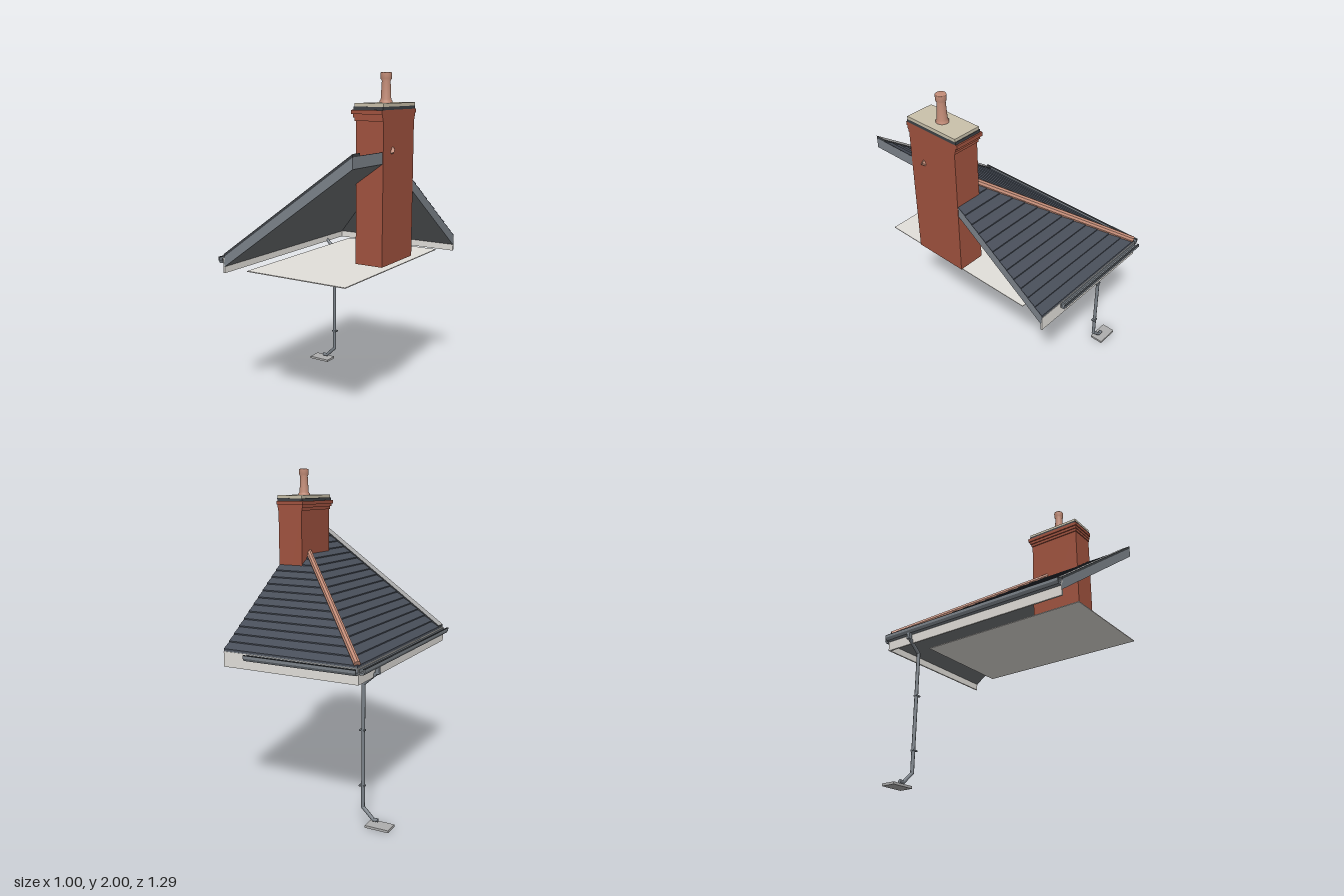
import * as THREE from 'three';
import { mergeGeometries } from 'three/addons/utils/BufferGeometryUtils.js';

const mat = (name, color) => {
  const m = new THREE.MeshStandardMaterial({ color });
  m.name = name;
  return m;
};

export function createModel() {
  const slate = mat('slate', 0x484e59);
  const felt = mat('underlay', 0x717578);
  const grey = mat('grey metal', 0x7c838a);
  const brick = mat('red brick', 0xa1533f);
  const clay = mat('terracotta', 0xc48d78);
  const white = mat('off white', 0xe2dfda);
  const mortar = mat('mortar', 0xcac1ab);
  const stone = mat('pale grey', 0xaeaeae);
  const lead = mat('dark lead', 0x3e4246);

  const root = new THREE.Group();
  const add = (name, geometry, material, parent = root) => {
    const mesh = new THREE.Mesh(geometry, material);
    mesh.name = name;
    parent.add(mesh);
    return mesh;
  };
  // Box given by its limits on each axis
  const box = (name, x0, x1, y0, y1, z0, z1, material, parent) => {
    const g = new THREE.BoxGeometry(x1 - x0, y1 - y0, z1 - z0);
    g.translate((x0 + x1) / 2, (y0 + y1) / 2, (z0 + z1) / 2);
    return add(name, g, material, parent);
  };
  // Bar between two points
  const bar = (p, q, r, flat = false) => {
    const a = new THREE.Vector3(...p), d = new THREE.Vector3(...q).sub(a);
    let g = new THREE.CylinderGeometry(r, r, d.length(), 8);
    if (flat) { g = g.toNonIndexed(); g.computeVertexNormals(); }
    g.applyQuaternion(new THREE.Quaternion().setFromUnitVectors(
      new THREE.Vector3(0, 1, 0), d.clone().normalize()));
    return g.translate(...a.addScaledVector(d, 0.5).toArray());
  };
  // Slab over a plan outline [x, z], with rules for its underside height and thickness
  const slab = (plan, low, thick) => {
    const shape = new THREE.Shape(plan.map(([x, z]) => new THREE.Vector2(x, -z)));
    const g = new THREE.ExtrudeGeometry(shape, { depth: 1, bevelEnabled: false });
    g.rotateX(-Math.PI / 2);
    const p = g.attributes.position;
    for (let i = 0; i < p.count; i++) {
      const x = p.getX(i), z = p.getZ(i);
      p.setY(i, low(x, z) + p.getY(i) * thick(x, z));
    }
    g.computeVertexNormals();
    return g;
  };

  // Roof: two slopes meeting on a 45 degree hip
  const X0 = -0.38, X1 = 0.483, Z0 = -0.61, ZF = 0.645, RUN = X1 - X0, HIP = 0.23, PITCH = 0.71;
  const sideLow = (x) => 0.91 + PITCH * (x - X0);
  const backLow = (x, z) => 0.91 + PITCH * (z - Z0);
  const DECK = 0.06;
  const roof = new THREE.Group();
  roof.name = 'roof';
  root.add(roof);
  add('sideDeck', slab([[X0, Z0], [X0, ZF], [X1, ZF], [X1, X1 - HIP]], sideLow, () => DECK),
    [felt, grey], roof);
  add('backDeck', slab([[X0, Z0], [X1, X1 - HIP], [X1, Z0]], backLow, () => DECK),
    [felt, grey], roof);

  // Slate courses, each thicker at its lower edge
  const COURSES = 17, step = (RUN - 0.001) / COURSES;
  const sideTiles = [], backTiles = [];
  for (let i = 0; i < COURSES; i++) {
    const u0 = i * step, u1 = u0 + step;
    const taper = (u) => 0.011 - 0.007 * (u - u0) / step;
    const xa = X0 + u0, xb = X0 + u1, za = Z0 + u0, zb = Z0 + u1;
    sideTiles.push(slab([[xa, za], [xa, 0.575], [xb, 0.575], [xb, zb]],
      (x) => sideLow(x) + DECK, (x) => taper(x - X0)));
    backTiles.push(slab([[xa, za], [xb, zb], [X1, zb], [X1, za]],
      (x, z) => backLow(x, z) + DECK, (x, z) => taper(z - Z0)));
  }
  add('sideSlates', mergeGeometries(sideTiles), slate, roof);
  add('backSlates', mergeGeometries(backTiles), slate, roof);

  // Verge strip along the front edge
  add('vergeStrip', slab([[X0, 0.575], [X0, ZF], [X1, ZF], [X1, 0.575]],
    (x) => sideLow(x) + DECK, () => 0.017), [stone, lead], roof);

  // Terracotta hip capping
  add('hipTiles', bar([-0.374, 0.988, -0.604], [0.486, 1.593, 0.256], 0.02, true), clay, roof);

  // Fascias and ceiling
  box('sideFascia', -0.385, -0.375, 0.875, 0.965, Z0, ZF, white);
  box('backFascia', -0.385, X1, 0.875, 0.965, -0.612, -0.602, white);
  box('ceiling', -0.21, 0.44, 0.906, 0.911, -0.435, ZF, white);

  // Open gutters, a U section run along each eave, with a dark outer lip
  const gutter = (name, length) => {
    const group = new THREE.Group();
    group.name = name;
    root.add(group);
    const s = new THREE.Shape();
    [[0, 0.03], [0, 0.016], [0.01, 0], [0.036, 0], [0.036, 0.03],
      [0.031, 0.03], [0.031, 0.012], [0.01, 0.012], [0.01, 0.03]]
      .forEach(([x, y], i) => (i ? s.lineTo(x, y) : s.moveTo(x, y)));
    add('trough', new THREE.ExtrudeGeometry(s, { depth: length, bevelEnabled: false }), grey, group);
    box('lip', 0, 0.011, 0.03, 0.034, 0, length, lead, group);
    return group;
  };
  gutter('sideGutter', ZF - Z0).position.set(-0.422, 0.932, Z0);
  const backGutter = gutter('backGutter', 0.71);
  backGutter.rotation.y = -Math.PI / 2;
  backGutter.position.set(0.325, 0.932, -0.648);

  // Downpipe with swan neck, shoe and brackets
  const pipe = new THREE.Group();
  pipe.name = 'downpipe';
  root.add(pipe);
  const PZ = -0.42;
  const path = [[-0.42, 0.905], [-0.4, 0.9], [-0.32, 0.83], [-0.32, 0.1], [-0.385, 0.037], [-0.415, 0.037]];
  for (let i = 0; i + 1 < path.length; i++) {
    add('pipeSection', bar([...path[i], PZ], [...path[i + 1], PZ], 0.011), grey, pipe);
    if (i) add('pipeElbow', new THREE.SphereGeometry(0.0112, 8, 6), grey, pipe)
      .position.set(...path[i], PZ);
  }
  box('outlet', -0.418, -0.396, 0.895, 0.935, PZ - 0.011, PZ + 0.011, grey, pipe);
  for (const y of [0.23, 0.56]) {
    box('bracket', -0.332, -0.298, y - 0.004, y + 0.004, PZ - 0.012, PZ + 0.012, grey, pipe);
  }
  box('splashBlock', -0.5, -0.355, 0, 0.014, -0.468, -0.38, stone);

  // Chimney stack with corbels, lead tray and mortar cap
  const chimney = new THREE.Group();
  chimney.name = 'chimney';
  root.add(chimney);
  const XC = 0.486;
  box('stack', 0.319, XC, 0.96, 1.76, -0.003, 0.344, brick, chimney);
  box('lowerCorbel', 0.312, XC, 1.745, 1.763, -0.008, 0.35, brick, chimney);
  box('middleCorbel', 0.305, XC, 1.763, 1.781, -0.014, 0.354, brick, chimney);
  box('upperCorbel', 0.297, XC, 1.781, 1.803, -0.024, 0.36, brick, chimney);
  box('leadTray', 0.305, XC, 1.803, 1.82, -0.015, 0.351, lead, chimney);
  box('cap', 0.311, XC, 1.82, 1.838, -0.012, 0.348, mortar, chimney);

  // Chimney pot
  const profile = [[0.036, 1.835], [0.036, 1.846], [0.029, 1.856], [0.024, 1.955], [0.03, 1.965],
    [0.031, 1.995], [0.029, 2], [0, 2]];
  add('pot', new THREE.LatheGeometry(profile.map(([r, y]) => new THREE.Vector2(r, y)), 20),
    clay, chimney).position.set(0.4, 0, 0.167);

  return root;
}
